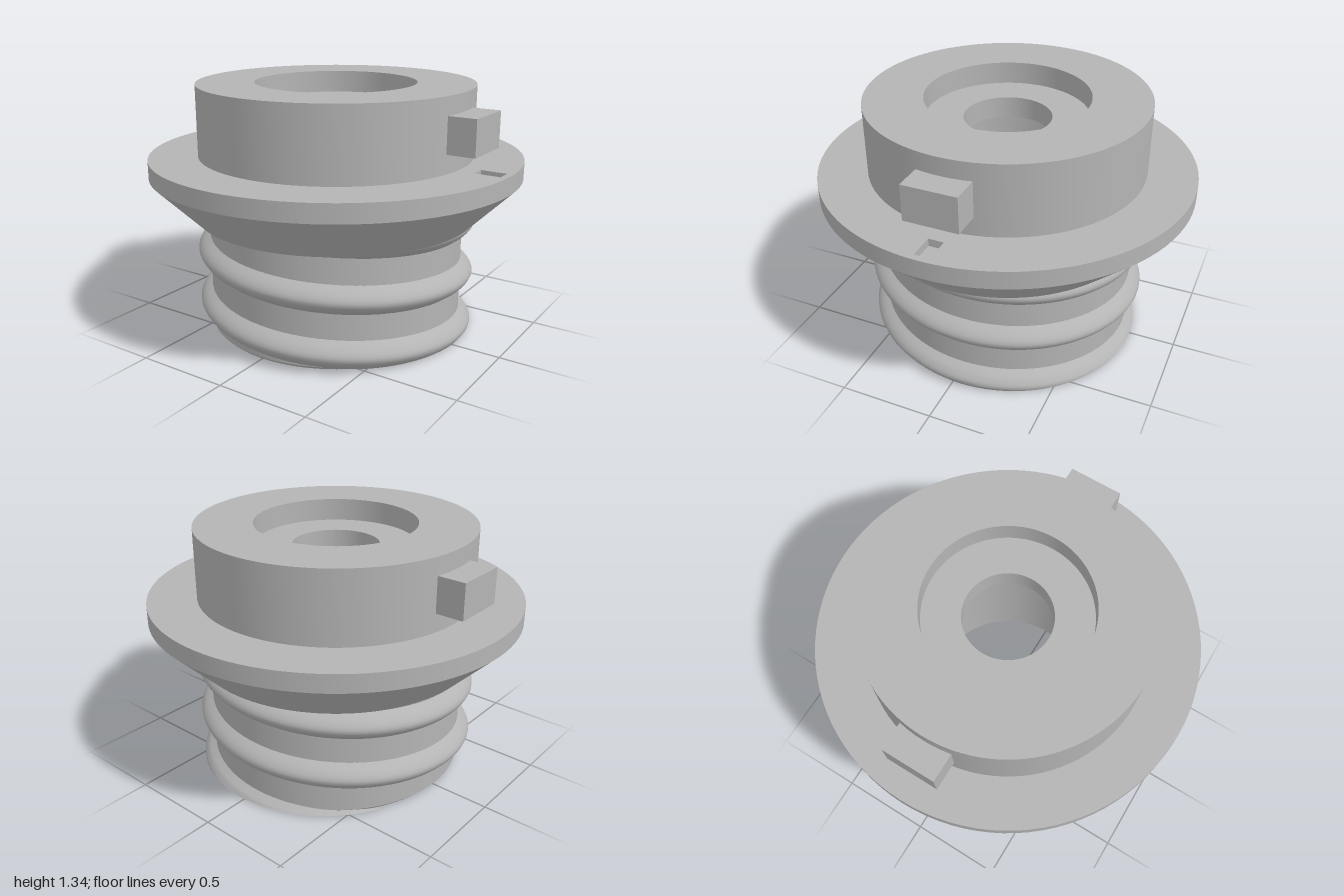
import * as THREE from 'three';
import { toCreasedNormals } from 'three/addons/utils/BufferGeometryUtils.js';

const SEGMENTS = 96;
const PITCH = 0.29;

function addPart(group, name, geometry, material) {
  const mesh = new THREE.Mesh(geometry, material);
  mesh.name = name;
  group.add(mesh);
  return mesh;
}

// Rounded ridge: radius at a vertical offset d from the thread's centre line
function threadRadius(d) {
  const steps = [[0, 0.759], [0.015, 0.756], [0.045, 0.735], [0.08, 0.688]];
  const a = Math.abs(d);
  for (let i = 1; i < steps.length; i++) {
    const [d0, r0] = steps[i - 1], [d1, r1] = steps[i];
    if (a <= d1) return r0 + (r1 - r0) * (a - d0) / (d1 - d0);
  }
  return 0.688;
}

// Helical thread, cut off flat at the base plane
function threadGeometry() {
  const positions = [], index = [];
  const cols = 13, top = 0.72, bottom = -0.075;
  const rows = Math.round((top - bottom) / PITCH * SEGMENTS);
  for (let i = 0; i <= rows; i++) {
    const centre = top + (bottom - top) * i / rows;
    const angle = (0.48 - centre) / PITCH * Math.PI * 2;
    const low = Math.max(-0.08, -centre);
    for (let j = 0; j < cols; j++) {
      // The first column runs inside the neck and closes the underside
      const d = j === 0 ? low : low + (0.08 - low) * (j - 1) / (cols - 2);
      const r = j === 0 ? 0.66 : threadRadius(d);
      positions.push(-Math.cos(angle) * r, centre + d, Math.sin(angle) * r);
      if (i < rows && j < cols - 1) {
        const a = i * cols + j, b = a + cols;
        index.push(a, b, b + 1, a, b + 1, a + 1);
      }
    }
  }
  const geometry = new THREE.BufferGeometry();
  geometry.setAttribute('position', new THREE.Float32BufferAttribute(positions, 3));
  geometry.setIndex(index);
  return toCreasedNormals(geometry, 0.6);
}

export function createModel() {
  const group = new THREE.Group();
  group.name = 'threadedCap';
  const grey = new THREE.MeshStandardMaterial({ color: 0xb4b4b4 });
  grey.name = 'grey';

  // Neck, conical shoulder, collar, counterbore and bore in one closed profile
  const profile = [
    [0.485, 0], [0.675, 0], [0.693, 0.018], [0.693, 0.622], [0.76, 0.622],
    [1, 0.86], [1, 0.915], [0.74, 0.915], [0.74, 1.335], [0.43, 1.335],
    [0.43, 1.215], [0.23, 1.215], [0.23, 1.1], [0.465, 1.1], [0.465, 0.02], [0.485, 0],
  ].map(([r, y]) => new THREE.Vector2(r, y));
  addPart(group, 'body', toCreasedNormals(new THREE.LatheGeometry(profile, SEGMENTS), 0.4), grey);

  // Top layer of the flange with the small index slot
  const ring = new THREE.Shape().absarc(0, 0, 1, 0, Math.PI * 2, false);
  ring.holes.push(new THREE.Path().absarc(0, 0, 0.735, 0, Math.PI * 2, true));
  ring.holes.push(new THREE.Path([
    [0.83, -0.04], [0.83, 0.04], [0.965, 0.04], [0.965, -0.04],
  ].map(([x, y]) => new THREE.Vector2(x, y))));
  const slab = new THREE.ExtrudeGeometry(ring, {
    depth: 0.04, bevelEnabled: false, curveSegments: SEGMENTS / 2,
  });
  slab.rotateX(-Math.PI / 2);
  addPart(group, 'flangeTop', toCreasedNormals(slab, 0.4), grey).position.y = 0.915;

  // Bayonet lugs on both sides of the collar
  for (const side of [1, -1]) {
    const lug = addPart(group, side > 0 ? 'leftLug' : 'rightLug',
      new THREE.BoxGeometry(0.175, 0.187, 0.284), grey);
    lug.position.set(side * 0.7875, 1.147, 0);
  }

  addPart(group, 'thread', threadGeometry(), grey);
  return group;
}
